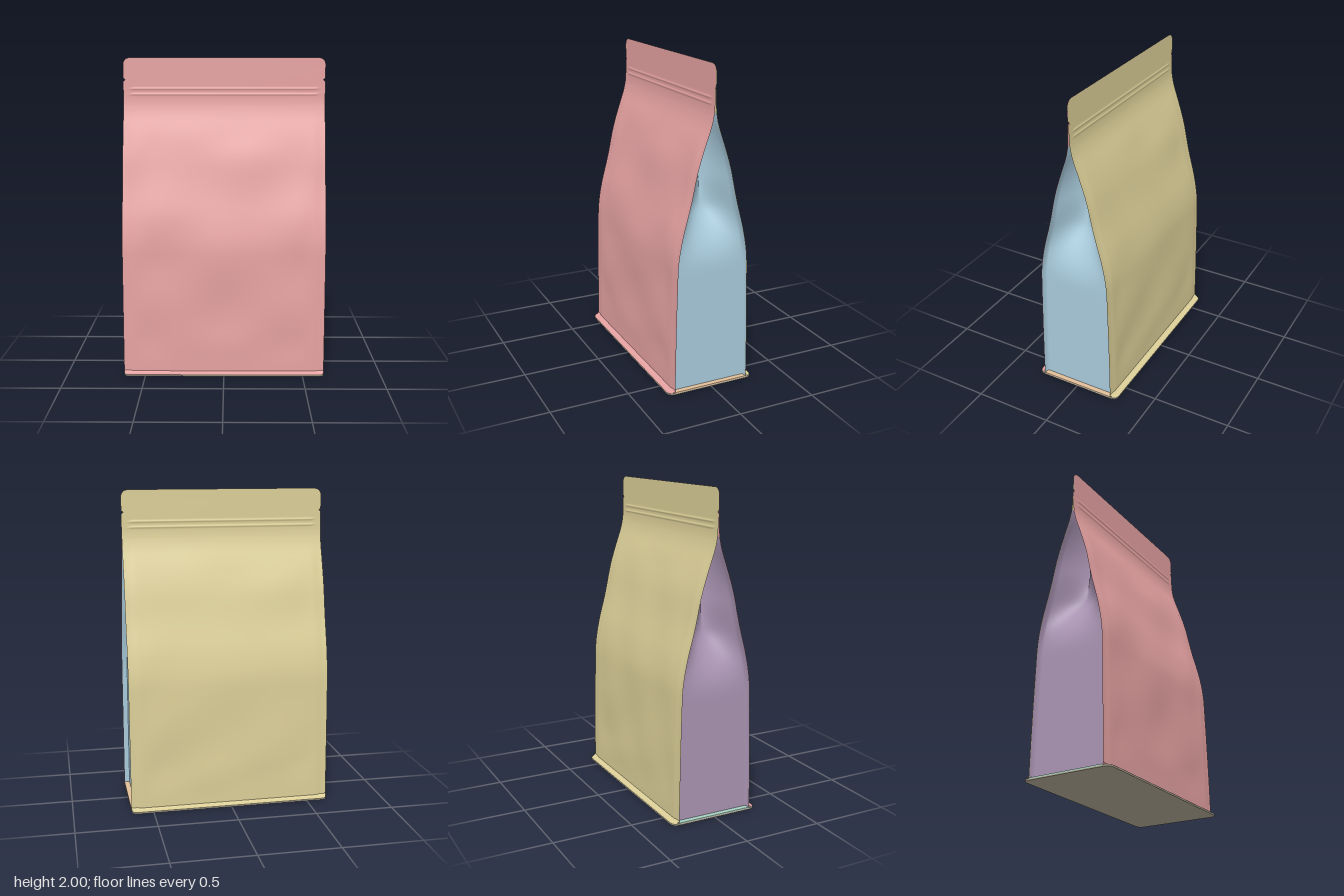
import * as THREE from 'three';

const HALF_W = 0.638, TOP = 2, ZIP_TOP = 1.7;

// half depth of the pouch at height y: linear key points, softened by averaging
const KEYS = [[0, 0.247], [0.2, 0.245], [0.5, 0.239], [0.85, 0.229], [1, 0.203], [1.2, 0.148],
  [1.4, 0.106], [1.55, 0.057], [1.68, 0.01], [1.75, 0.004], [1.85, 0.003], [2, 0.0015]];
function linear(y) {
  y = THREE.MathUtils.clamp(y, 0, 2);
  const i = Math.max(1, KEYS.findIndex(k => k[0] >= y));
  const [y0, z0] = KEYS[i - 1], [y1, z1] = KEYS[i];
  return z0 + (z1 - z0) * (y - y0) / (y1 - y0);
}
function depth(y) {
  let sum = 0;
  for (let i = -3; i <= 3; i++) sum += linear(y + i * 0.02);
  return sum / 7;
}

// half width with rounded top corners and small tear notches
function halfWidth(y) {
  const r = 0.045, c = Math.max(0, y - (TOP - r));
  const notch = Math.max(0, 0.012 - Math.abs(y - 1.862));
  return HALF_W - r + Math.sqrt(Math.max(0, r * r - c * c)) - notch;
}

const smooth = THREE.MathUtils.smoothstep;
const bump = (y, c, w) => Math.exp(-(((y - c) / w) ** 2));

// soft wrinkles in the film, fading towards the seals
function wrinkle(x, y, s) {
  const fade = smooth(y, 0.05, 0.3) * (1 - smooth(y, 1.4, 1.65)) * (1 - smooth(Math.abs(x), 0.45, 0.6));
  return fade * (0.003 * Math.sin(7 * x + 9 * y + s) + 0.003 * Math.sin(11 * y - 6 * x * s)
    + 0.002 * Math.sin(13 * x - 5 * y));
}

// surface from a rule f(u, v) -> [x, y, z]
function surface(us, vs, f) {
  const pos = [], idx = [], n = us.length;
  for (const v of vs) for (const u of us) pos.push(...f(u, v));
  for (let j = 0; j < vs.length - 1; j++) {
    for (let i = 0; i < n - 1; i++) {
      const a = j * n + i, b = a + 1, c = a + n, d = c + 1;
      idx.push(a, b, d, a, d, c);
    }
  }
  const g = new THREE.BufferGeometry();
  g.setAttribute('position', new THREE.Float32BufferAttribute(pos, 3));
  g.setIndex(idx);
  g.computeVertexNormals();
  return g;
}
const range = (a, b, n) => Array.from({ length: n + 1 }, (_, i) => a + (b - a) * i / n);

function part(group, name, geometry, color) {
  const material = new THREE.MeshStandardMaterial({ color, side: THREE.DoubleSide });
  const mesh = new THREE.Mesh(geometry, material);
  mesh.name = name;
  group.add(mesh);
  return mesh;
}

// front (s = 1) or back (s = -1) panel, with sealed edges and zip ridges
function panel(s) {
  const rows = [...range(0.012, 1.7, 70), ...range(1.706, 1.95, 61), ...range(1.955, 2, 12)];
  return surface(range(-1, 1, 64), rows, (u, y) => {
    const x = u * halfWidth(y) * s;
    const ax = Math.abs(x);
    const belly = 0.004 * (1 - smooth(ax, 0.575, 0.605)) * (1 - smooth(y, 1.5, 1.7));
    const zip = 0.004 * (bump(y, 1.805, 0.006) + bump(y, 1.77, 0.006)) * (1 - smooth(ax, 0.585, 0.6));
    return [x, y, s * (depth(y) + belly + zip + wrinkle(x, y, s))];
  });
}

// side gusset: edge seals, flat lower wall, folding inwards to a centre crease above
function gusset(s) {
  const us = [-1, ...range(-0.99, 0.99, 40), 1];
  return surface(us, range(0.012, ZIP_TOP + 0.02, 80), (u, y) => {
    const d = Math.max(0.001, depth(y) - 0.002);
    if (Math.abs(u) === 1) return [s * (HALF_W - 0.003), y, -u * d * s];
    const t = Math.abs(u) / 0.99;
    const fold = 0.85 * Math.sqrt(Math.max(0, 0.235 ** 2 - d * d)) * smooth(y, 0.75, 1.15);
    const crease = smooth(y, 1.1, 1.34);
    const shape = THREE.MathUtils.lerp(1 - t * t, 1 - t, crease);
    return [s * (0.605 - fold * shape), y, -u * Math.max(0, d - 0.003) * s];
  });
}

// flat plate in plan (x, z), raised to height y
function plate(shape, y, thickness) {
  const g = new THREE.ExtrudeGeometry(shape, { depth: thickness, bevelEnabled: false, curveSegments: 8 });
  g.rotateX(-Math.PI / 2);
  g.translate(0, y, 0);
  return g;
}
function roundedPlan(w, d, r) {
  const p = new THREE.Shape();
  p.moveTo(-w + r, -d);
  p.lineTo(w - r, -d);
  p.quadraticCurveTo(w, -d, w, -d + r);
  p.lineTo(w, d - r);
  p.quadraticCurveTo(w, d, w - r, d);
  p.lineTo(-w + r, d);
  p.quadraticCurveTo(-w, d, -w, d - r);
  p.lineTo(-w, -d + r);
  p.quadraticCurveTo(-w, -d, -w + r, -d);
  return p;
}

// long base seal strip that flares out from the foot of a main panel
function flare(s) {
  return surface(range(-1, 1, 48), range(0, 1, 8), (u, v) => {
    const z = 0.29 - 0.043 * v;
    const c = Math.max(0, z - 0.245) / 0.045;
    const w = HALF_W - 0.042 * (1 - Math.sqrt(Math.max(0, 1 - c * c)));
    return [s * u * w, 0.014 + 0.014 * v ** 3, s * z];
  });
}

export function createModel() {
  const group = new THREE.Group();
  group.name = 'standUpPouch';

  // main panels and their base seals
  for (const [s, side, color] of [[1, 'front', 0xe6a2a2], [-1, 'back', 0xdccf98]]) {
    part(group, side + 'Panel', panel(s), color);
    part(group, side + 'BaseSeal', flare(s), color);
  }

  // side gussets and the short base seals below them
  for (const [s, side, color, sealColor] of [
    [1, 'left', 0xa9cbdc, 0xe2c09a], [-1, 'right', 0xab95b4, 0xa9d2c4]]) {
    part(group, side + 'Gusset', gusset(s), color);
    const seal = new THREE.BoxGeometry(0.05, 0.008, 0.49);
    seal.translate(s * (HALF_W - 0.025), 0.014, 0);
    part(group, side + 'BaseSeal', seal, sealColor);
  }

  // flat bottom
  part(group, 'bottomPanel', plate(roundedPlan(HALF_W, 0.29, 0.045), 0.003, 0.01), 0xb5ac98);
  return group;
}
